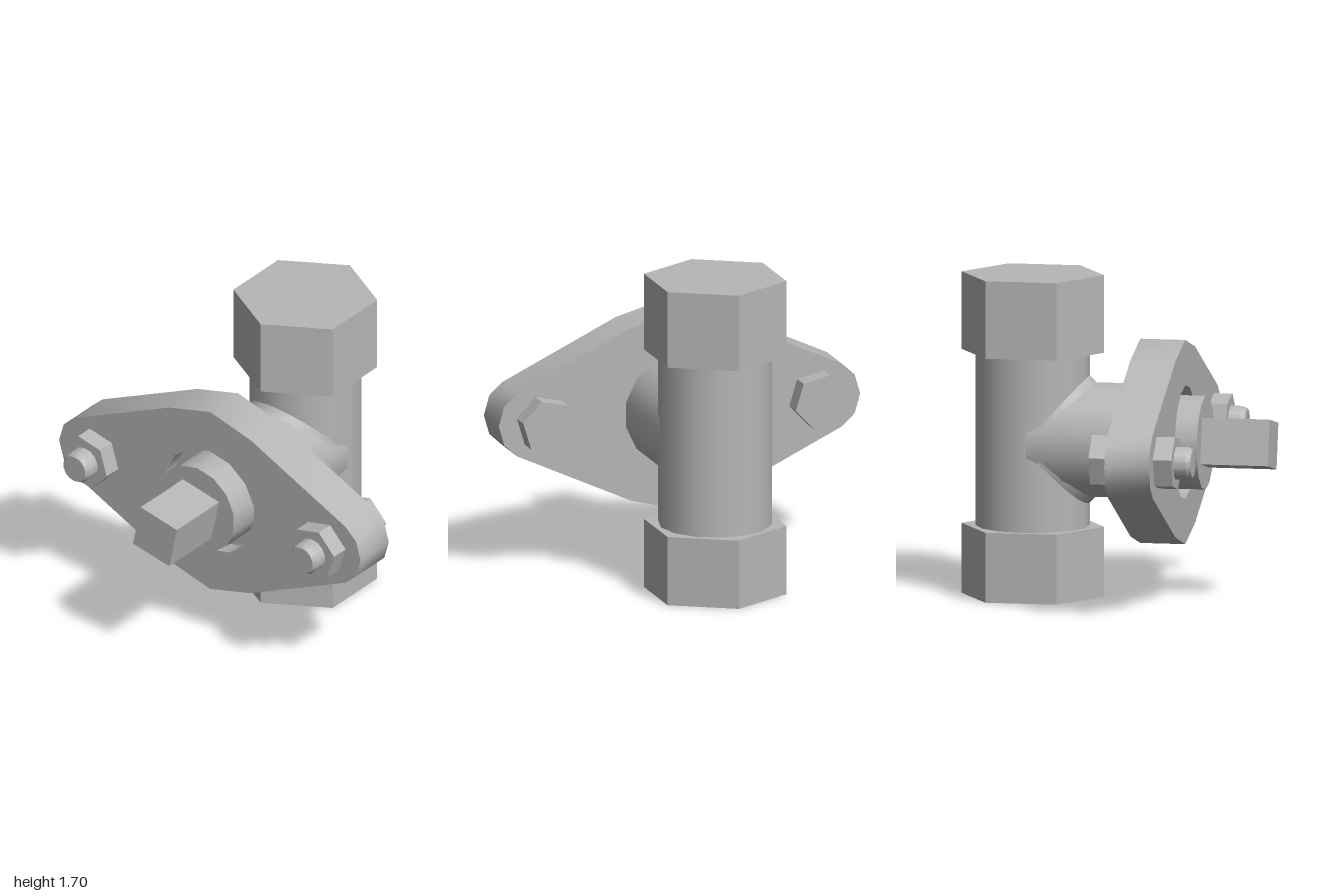
import * as THREE from 'three';
import { toCreasedNormals } from 'three/addons/utils/BufferGeometryUtils.js';

const AXIS_Y = 0.83;   // height of the horizontal axis
const PIPE_Z = -0.45;  // depth of the vertical pipe
const R = 0.3;         // pipe radius

export function createModel() {
  const model = new THREE.Group();
  model.name = 'valve';
  const steel = new THREE.MeshStandardMaterial({ color: 0xb6b6b6 });
  steel.name = 'greySteel';

  const add = (name, geometry, x = 0, y = 0, z = 0, parent = model) => {
    const mesh = new THREE.Mesh(geometry, steel);
    mesh.name = name;
    mesh.position.set(x, y, z);
    parent.add(mesh);
    return mesh;
  };
  // Cylinder along z from z0 to z1
  const rodZ = (r, z0, z1, sides) => new THREE.CylinderGeometry(r, r, z1 - z0, sides)
    .rotateX(Math.PI / 2).translate(0, 0, (z0 + z1) / 2);
  const faceted = (g) => toCreasedNormals(g, 0.6);

  // Vertical pipe with a hexagonal cap at each end
  add('verticalPipe', new THREE.CylinderGeometry(R, R, 1.1, 14).rotateY(Math.PI / 2), 0, 0.83, PIPE_Z);
  for (const [name, y0, y1] of [['lowerHexCap', 0, 0.37], ['upperHexCap', 1.29, 1.7]]) {
    add(name, faceted(new THREE.CylinderGeometry(0.38, 0.38, y1 - y0, 6)), 0, (y0 + y1) / 2, PIPE_Z);
  }

  // Branch pipe, ending inside the flange as the floor of its recess
  add('branchPipe', rodZ(R + 0.003, PIPE_Z, 0.27, 14), 0, AXIS_Y, 0);

  // Bevelled weld along the saddle where the two pipes meet
  const weld = [];
  const index = [];
  const steps = 28;
  for (let i = 0; i <= steps; i++) {
    const a = (i / steps) * Math.PI * 2;
    const x = R * Math.cos(a), s = Math.sin(a);
    const z = PIPE_Z + Math.sqrt(Math.max(0, R * R - x * x));
    weld.push(x, AXIS_Y + R * s, z + 0.036 * Math.abs(s), x, AXIS_Y + (R + 0.036) * s, z);
    if (i < steps) {
      const k = i * 2;
      index.push(k, k + 1, k + 2, k + 1, k + 3, k + 2);
    }
  }
  const weldGeometry = new THREE.BufferGeometry();
  weldGeometry.setAttribute('position', new THREE.Float32BufferAttribute(weld, 3));
  weldGeometry.setIndex(index);
  weldGeometry.computeVertexNormals();
  add('pipeWeld', weldGeometry);

  // Diamond flange with rounded ends and a central recess
  const quarter = [[1, 0], [0.97, 0.105], [0.9, 0.17], [0.27, 0.467], [0, 0.54]];
  const half = [...quarter, ...quarter.slice(0, 4).reverse().map(([x, y]) => [-x, y])];
  const outline = [...half, ...half.slice(1, -1).reverse().map(([x, y]) => [x, -y])];
  const flange = new THREE.Shape(outline.map(([x, y]) => new THREE.Vector2(x, y)));
  const hole = [];
  for (let i = 0; i < 14; i++) {
    const a = Math.PI / 2 - (i / 14) * Math.PI * 2;
    hole.push(new THREE.Vector2(R * Math.cos(a), R * Math.sin(a)));
  }
  flange.holes.push(new THREE.Path(hole));
  add('flange', faceted(new THREE.ExtrudeGeometry(flange, { depth: 0.24, bevelEnabled: false })), 0, AXIS_Y, 0.122);

  // Boss and square drive stem
  add('boss', rodZ(0.248, 0.2, 0.47, 14), 0, AXIS_Y, 0);
  const stem = add('squareStem', new THREE.BoxGeometry(0.245, 0.245, 0.4), 0, AXIS_Y, 0.63);
  stem.rotation.z = -0.21;

  // Mirrored bolts: head behind, nut and chamfered shank in front
  const shank = [[0, 0.35], [0.087, 0.35], [0.087, 0.525], [0.073, 0.548], [0, 0.548]]
    .map(([r, h]) => new THREE.Vector2(r, h));
  for (const side of [-1, 1]) {
    const bolt = new THREE.Group();
    bolt.name = side > 0 ? 'leftBolt' : 'rightBolt';
    bolt.position.set(side * 0.754, AXIS_Y, 0);
    model.add(bolt);
    const turn = side * (Math.PI / 10.6);
    for (const [name, z0, z1] of [['boltHead', 0.018, 0.13], ['nut', 0.355, 0.46]]) {
      add(name, faceted(rodZ(0.15, z0, z1, 6).rotateZ(-turn)), 0, 0, 0, bolt);
    }
    add('boltShank', faceted(new THREE.LatheGeometry(shank, 14).rotateX(Math.PI / 2)), 0, 0, 0, bolt);
  }
  return model;
}
